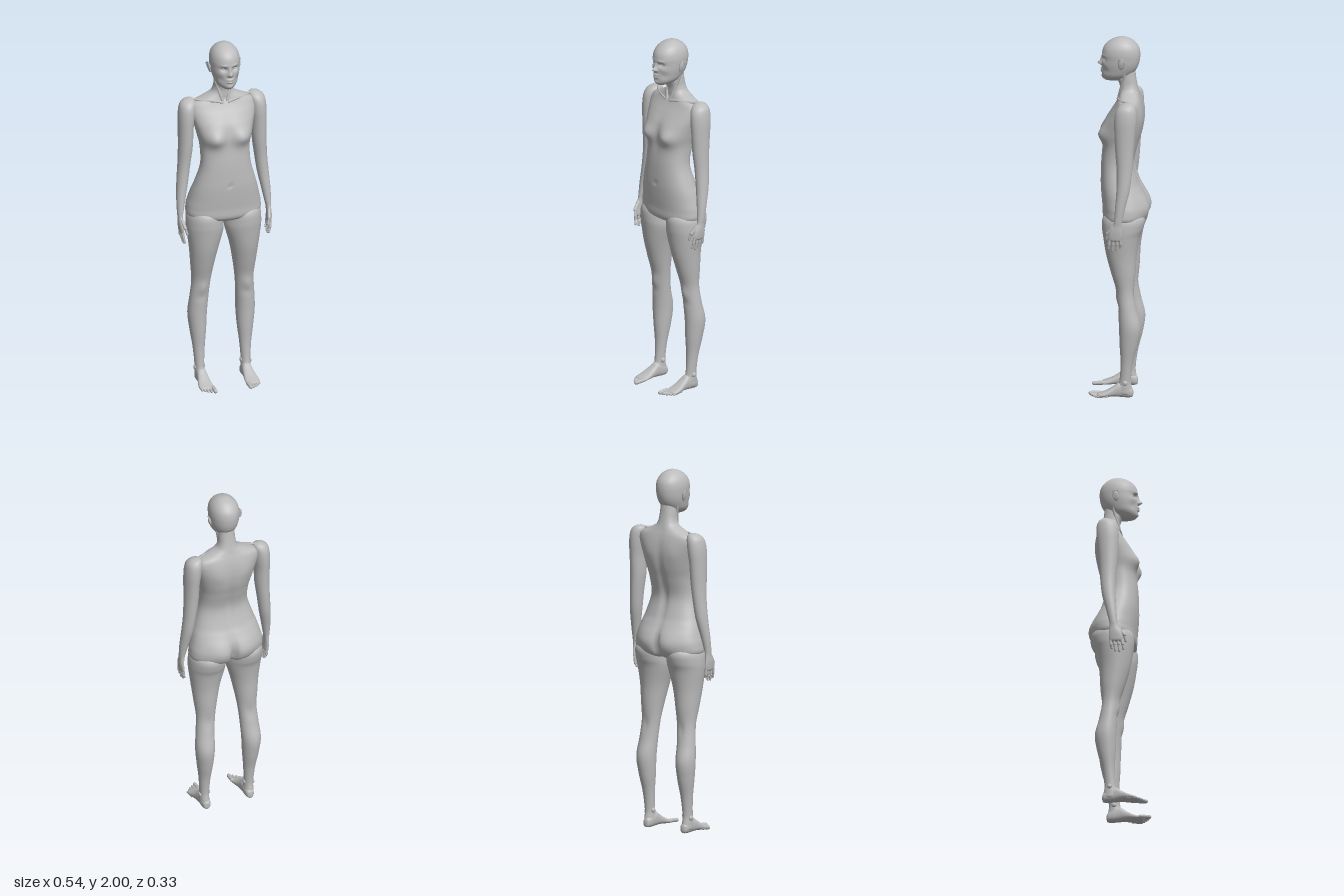
import * as THREE from 'three';

const skin = new THREE.MeshStandardMaterial({ color: 0xbcbcbc });
skin.name = 'grey skin';

function add(group, name, geometry) {
  const mesh = new THREE.Mesh(geometry, skin);
  mesh.name = name;
  group.add(mesh);
  return mesh;
}

// Smooth curve through a table of section rows
function sample(rows, t) {
  const i = Math.min(Math.floor(t), rows.length - 2), f = t - i;
  const at = k => rows[Math.max(0, Math.min(rows.length - 1, k))];
  return rows[0].map((_, c) => {
    const a = at(i - 1)[c], b = at(i)[c], d = at(i + 1)[c], e = at(i + 2)[c];
    const m0 = (d - a) / 2, m1 = (e - b) / 2, g = f * f, h = g * f;
    return (2 * h - 3 * g + 1) * b + (h - 2 * g + f) * m0 + (3 * g - 2 * h) * d + (h - g) * m1;
  });
}

// Sections are [position, centre x, half width, front (or top), back (or bottom)].
// Bumps are [x, y, spread x, spread y, amount, +1 front / -1 back]; x is mirrored.
function loft(rows, { seg = 40, sub = 6, n = 2, side = 1, alongZ = false, bumps = [] } = {}) {
  const pos = [], idx = [], count = (rows.length - 1) * sub;
  const sp = v => Math.sign(v) * Math.pow(Math.abs(v), 2 / n);
  for (let r = 0; r <= count; r++) {
    const [t, cx, w, hi, lo] = sample(rows, r / sub);
    for (let k = 0; k < seg; k++) {
      const a = k / seg * Math.PI * 2, c = Math.cos(a), s = Math.sin(a);
      const x = cx + Math.max(w, 0) * sp(c);
      let v = (hi + lo) / 2 + (hi - lo) / 2 * sp(s);
      for (const [bx, by, sx, sy, amt, dir] of bumps) {
        if (s * dir <= 0) continue;
        const g = Math.exp(-(((Math.abs(x - cx) - bx) / sx) ** 2) - ((t - by) / sy) ** 2);
        v += dir * amt * g * Math.min(1, Math.abs(s) * 2);
      }
      if (alongZ) pos.push(x * side, v, t);
      else pos.push(x * side, t, v);
    }
  }
  for (let r = 0; r < count; r++) for (let k = 0; k < seg; k++) {
    const a = r * seg + k, b = r * seg + (k + 1) % seg;
    idx.push(a, b, a + seg, b, b + seg, a + seg);
  }
  // Turn the faces outward, whichever way the loft runs
  const p = i => new THREE.Vector3().fromArray(pos, i * 3);
  let volume = 0;
  for (let i = 0; i < idx.length; i += 3) volume += p(idx[i]).dot(p(idx[i + 1]).cross(p(idx[i + 2])));
  if (volume < 0) idx.reverse();
  const g = new THREE.BufferGeometry();
  g.setAttribute('position', new THREE.Float32BufferAttribute(pos, 3));
  g.setIndex(idx);
  g.computeVertexNormals();
  return g;
}

// Rounded rod between two points, used for fingers and toes
function rod(group, name, a, b, r, side) {
  const p = new THREE.Vector3(a[0] * side, a[1], a[2]), q = new THREE.Vector3(b[0] * side, b[1], b[2]);
  const d = q.clone().sub(p), mesh = add(group, name, new THREE.CapsuleGeometry(r, d.length(), 5, 10));
  mesh.position.copy(p).add(q).multiplyScalar(0.5);
  mesh.quaternion.setFromUnitVectors(new THREE.Vector3(0, 1, 0), d.normalize());
}

function tube(group, name, pts, r, side) {
  const path = new THREE.CatmullRomCurve3(pts.map(([x, y, z]) => new THREE.Vector3(x * side, y, z)));
  add(group, name, new THREE.TubeGeometry(path, 20, r, 8));
}

function ball(group, name, x, y, z, sx, sy, sz) {
  const mesh = add(group, name, new THREE.SphereGeometry(1, 20, 14));
  mesh.position.set(x, y, z);
  mesh.scale.set(sx, sy, sz);
  return mesh;
}

const TORSO = [
  [0.955, 0, 0, -0.01, -0.03], [0.962, 0, 0.05, 0.03, -0.07], [0.975, 0, 0.13, 0.07, -0.115],
  [1.0, 0, 0.203, 0.092, -0.142], [1.05, 0, 0.208, 0.095, -0.153], [1.1, 0, 0.197, 0.1, -0.144],
  [1.15, 0, 0.184, 0.104, -0.122], [1.2, 0, 0.168, 0.106, -0.1], [1.3, 0, 0.14, 0.104, -0.077],
  [1.4, 0, 0.138, 0.097, -0.1], [1.47, 0, 0.152, 0.1, -0.12], [1.53, 0, 0.167, 0.085, -0.128],
  [1.58, 0, 0.18, 0.056, -0.127], [1.62, 0, 0.186, 0.03, -0.122], [1.65, 0, 0.172, 0.014, -0.115],
  [1.675, 0, 0.115, 0.006, -0.107], [1.7, 0, 0.066, 0.002, -0.1], [1.73, 0, 0.05, 0.004, -0.093],
  [1.77, 0, 0.047, 0.018, -0.086], [1.82, 0, 0.045, 0.03, -0.08]];
const TORSO_BUMPS = [
  [0.085, 1.465, 0.05, 0.045, 0.026, 1], [0, 1.48, 0.03, 0.08, -0.008, 1],
  [0.075, 1.05, 0.06, 0.07, 0.014, -1], [0, 1.02, 0.016, 0.075, -0.035, -1],
  [0, 1.35, 0.022, 0.22, -0.012, -1], [0.085, 1.56, 0.045, 0.06, 0.006, -1],
  [0, 1.19, 0.01, 0.01, -0.008, 1], [0, 1.67, 0.014, 0.014, -0.006, 1]];

const HEAD = [
  [1.752, 0, 0, 0.06, 0.03], [1.757, 0, 0.026, 0.083, -0.01], [1.77, 0, 0.045, 0.095, -0.035],
  [1.79, 0, 0.06, 0.1, -0.062], [1.82, 0, 0.07, 0.101, -0.088], [1.85, 0, 0.077, 0.1, -0.101],
  [1.88, 0, 0.08, 0.1, -0.107], [1.91, 0, 0.081, 0.1, -0.108], [1.94, 0, 0.076, 0.092, -0.102],
  [1.965, 0, 0.064, 0.073, -0.085], [1.985, 0, 0.044, 0.044, -0.06], [1.996, 0, 0.022, 0.014, -0.03],
  [2.0, 0, 0, -0.008, -0.008]];
const HEAD_BUMPS = [
  [0, 1.85, 0.011, 0.011, 0.021, 1], [0, 1.868, 0.008, 0.02, 0.01, 1], [0.011, 1.845, 0.006, 0.006, 0.006, 1],
  [0.031, 1.878, 0.016, 0.011, -0.014, 1], [0.03, 1.9, 0.02, 0.007, 0.004, 1],
  [0, 1.818, 0.018, 0.005, 0.009, 1], [0, 1.805, 0.016, 0.005, 0.01, 1], [0, 1.775, 0.018, 0.012, 0.006, 1],
  [0.05, 1.85, 0.018, 0.016, 0.004, 1], [0.045, 1.815, 0.016, 0.02, -0.005, 1]];

const ARM = [
  [1.676, 0.183, 0, -0.055, -0.06], [1.669, 0.187, 0.026, -0.03, -0.085], [1.65, 0.194, 0.042, -0.005, -0.1],
  [1.62, 0.2, 0.046, 0.01, -0.107], [1.57, 0.205, 0.046, 0.015, -0.107], [1.5, 0.209, 0.042, 0.013, -0.1],
  [1.4, 0.211, 0.04, 0.008, -0.092], [1.3, 0.219, 0.035, 0.0, -0.085], [1.2, 0.23, 0.032, 0.0, -0.074],
  [1.1, 0.243, 0.025, 0.006, -0.05], [1.03, 0.25, 0.018, 0.011, -0.034], [1.0, 0.252, 0.014, 0.016, -0.031],
  [0.965, 0.253, 0.013, 0.034, -0.034], [0.935, 0.251, 0.012, 0.042, -0.035], [0.915, 0.249, 0.01, 0.038, -0.03],
  [0.905, 0.248, 0, 0.02, -0.015]];

const LEG = [
  [1.06, 0.11, 0, 0, -0.04], [1.03, 0.11, 0.075, 0.065, -0.12], [1.0, 0.109, 0.097, 0.088, -0.143],
  [0.95, 0.108, 0.103, 0.09, -0.135], [0.9, 0.108, 0.1, 0.084, -0.117], [0.8, 0.115, 0.08, 0.067, -0.1],
  [0.7, 0.12, 0.065, 0.04, -0.094], [0.6, 0.123, 0.053, 0.011, -0.088], [0.5, 0.131, 0.052, 0.001, -0.1],
  [0.4, 0.137, 0.053, -0.005, -0.122], [0.3, 0.135, 0.045, -0.008, -0.108], [0.2, 0.133, 0.033, -0.013, -0.083],
  [0.1, 0.132, 0.026, -0.008, -0.07], [0.05, 0.131, 0.027, 0.004, -0.076], [0.02, 0.13, 0.025, 0.0, -0.076],
  [0.006, 0.13, 0, -0.03, -0.04]];
const LEG_BUMPS = [[0, 0.565, 0.026, 0.03, 0.007, 1], [0, 0.51, 0.03, 0.018, -0.004, 1], [0, 0.58, 0.02, 0.04, -0.006, -1]];

// Foot sections run from heel to toe, with top and sole heights
const FOOT = [
  [-0.083, 0.129, 0, 0.03, 0.02], [-0.077, 0.129, 0.018, 0.05, 0.004], [-0.05, 0.129, 0.026, 0.07, 0],
  [-0.01, 0.129, 0.028, 0.085, 0.002], [0.025, 0.13, 0.032, 0.062, 0.004], [0.06, 0.132, 0.038, 0.04, 0.002],
  [0.09, 0.132, 0.04, 0.027, 0], [0.11, 0.128, 0.034, 0.02, 0.002], [0.12, 0.125, 0, 0.012, 0.008]];

export function createModel() {
  const model = new THREE.Group();
  model.name = 'standing figure';
  add(model, 'torso and neck', loft(TORSO, { seg: 96, n: 2.3, bumps: TORSO_BUMPS }));

  const head = new THREE.Group();
  head.name = 'head';
  model.add(head);
  add(head, 'skull and face', loft(HEAD, { seg: 140, sub: 9, n: 2.1, bumps: HEAD_BUMPS }));

  for (const s of [1, -1]) {
    const label = s > 0 ? 'left' : 'right';
    const part = name => {
      const g = new THREE.Group();
      g.name = `${label} ${name}`;
      model.add(g);
      return g;
    };

    // Eye and ear
    ball(head, `${label} eye`, 0.031 * s, 1.877, 0.071, 0.012, 0.009, 0.012);
    const ear = ball(head, `${label} ear`, 0.086 * s, 1.862, -0.012, 0.007, 0.03, 0.017);
    ear.rotation.set(-0.15, 0, -0.2 * s);
    tube(head, `${label} ear rim`, [[0.083, 1.87, 0.006], [0.092, 1.892, -0.006], [0.096, 1.885, -0.026],
      [0.09, 1.86, -0.028], [0.082, 1.838, -0.012]], 0.0035, s);

    // Collarbone and neck tendon
    const neck = part('collar');
    tube(neck, 'collarbone', [[0.012, 1.652, 0.014], [0.06, 1.662, 0.006], [0.12, 1.663, -0.022], [0.175, 1.668, -0.06]], 0.007, s);
    tube(neck, 'neck tendon', [[0.012, 1.655, 0.01], [0.028, 1.71, -0.004], [0.044, 1.77, -0.022], [0.055, 1.82, -0.03]], 0.008, s);

    // Arm, fingers and thumb
    const arm = part('arm');
    add(arm, 'arm and palm', loft(ARM, { side: s }));
    [[0.034, 0.866], [0.014, 0.856], [-0.006, 0.86], [-0.024, 0.875]].forEach(([z, tip]) => {
      rod(arm, 'finger base', [0.249, 0.92, z], [0.247, 0.892, z * 1.1 + 0.002], 0.0078, s);
      rod(arm, 'finger tip', [0.247, 0.892, z * 1.1 + 0.002], [0.24, tip, z * 1.1 + 0.006], 0.0062, s);
    });
    rod(arm, 'thumb base', [0.248, 0.985, 0.02], [0.24, 0.95, 0.048], 0.0095, s);
    rod(arm, 'thumb tip', [0.24, 0.95, 0.048], [0.231, 0.918, 0.055], 0.007, s);

    // Leg, foot and toes
    const leg = part('leg');
    add(leg, 'leg', loft(LEG, { seg: 48, side: s, bumps: LEG_BUMPS }));
    add(leg, 'foot', loft(FOOT, { n: 2.4, side: s, alongZ: true }));
    for (const z of [-0.04]) {
      ball(leg, 'inner ankle', 0.107 * s, 0.095, z, 0.008, 0.014, 0.014);
      ball(leg, 'outer ankle', 0.157 * s, 0.085, z, 0.008, 0.014, 0.014);
    }
    [[0.101, 0.154, 0.011], [0.12, 0.145, 0.008], [0.136, 0.134, 0.0075], [0.15, 0.122, 0.007], [0.163, 0.108, 0.0065]]
      .forEach(([x, z, r]) => rod(leg, 'toe', [x - 0.002, r + 0.004, z - 0.05], [x, r, z], r, s));
  }
  return model;
}
